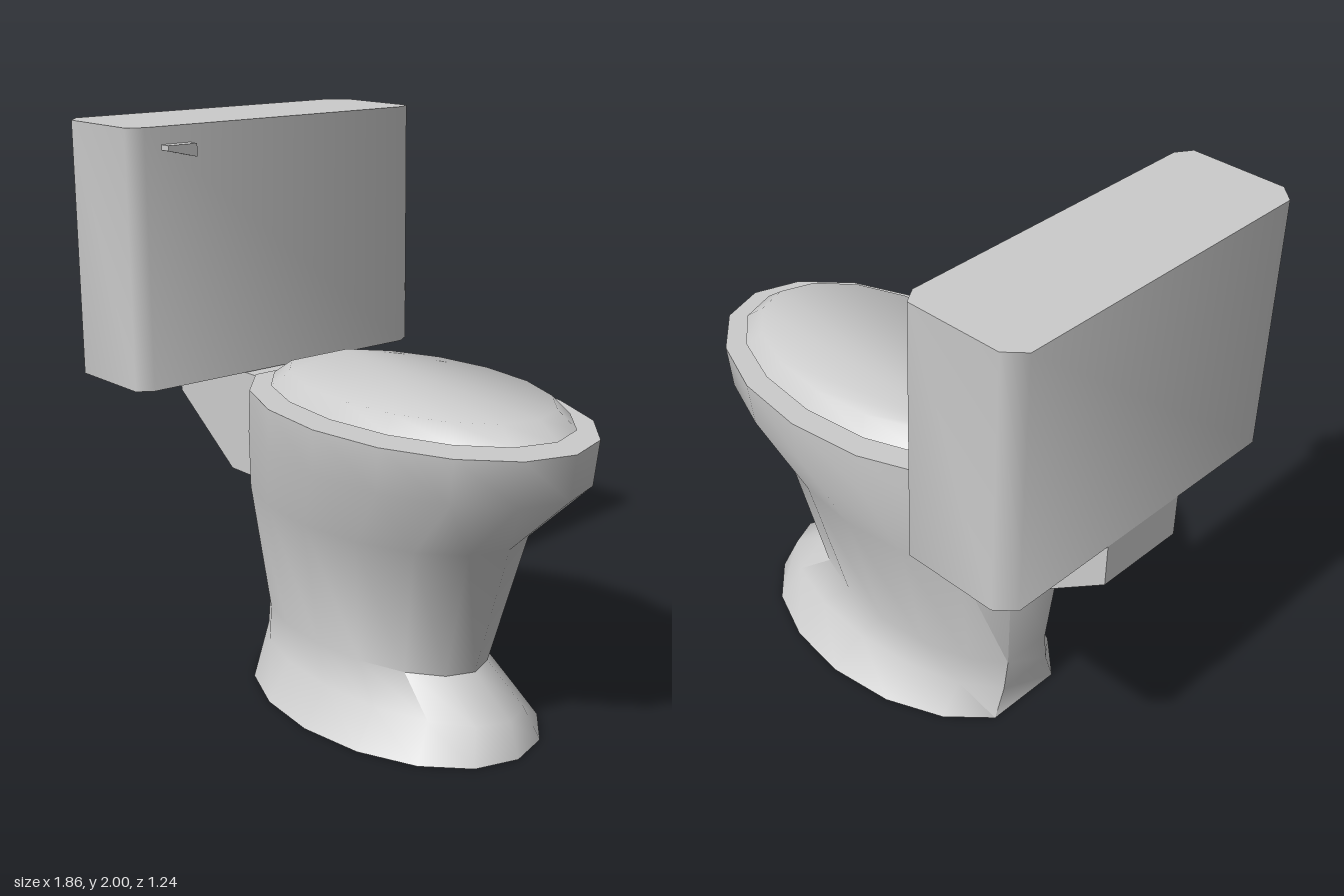
import * as THREE from 'three';
import { toCreasedNormals } from 'three/addons/utils/BufferGeometryUtils.js';

const material = new THREE.MeshStandardMaterial({ color: 0xcccccc, side: THREE.DoubleSide });

function addPart(group, name, geometry, crease = 0.9) {
  const mesh = new THREE.Mesh(toCreasedNormals(geometry, crease), material);
  mesh.name = name;
  group.add(mesh);
}

// Sixteen-sided oval with its rear corner cut off flat.
const SIDES = 15;
function ovalRing([y, back, front, halfWidth]) {
  const cut = Math.cos(Math.PI / 8);
  const radius = (front - back) / (1 + cut);
  return Array.from({ length: SIDES }, (_, i) => {
    const a = (i - 7) * Math.PI / 8;
    return [front - radius + radius * Math.cos(a), y, halfWidth * Math.sin(a)];
  });
}

// Skin stacked ovals, listed from bottom to top as [y, back, front, halfWidth].
function loft(sections, capBottom) {
  const positions = sections.flatMap(ovalRing).flat();
  const index = [];
  const last = (sections.length - 1) * SIDES;
  for (let r = 0; r < last; r += SIDES) {
    for (let j = 0; j < SIDES; j++) {
      const k = (j + 1) % SIDES;
      const a = r + j, b = r + k, c = b + SIDES, d = a + SIDES;
      index.push(a, d, c, a, c, b);
    }
  }
  for (let j = 1; j < SIDES - 1; j++) {
    index.push(last, last + j + 1, last + j);
    if (capBottom) index.push(0, j, j + 1);
  }
  const geometry = new THREE.BufferGeometry();
  geometry.setAttribute('position', new THREE.Float32BufferAttribute(positions, 3));
  geometry.setIndex(index);
  geometry.computeVertexNormals();
  return geometry;
}

function extrude(points, depth) {
  const shape = new THREE.Shape(points.map(([x, y]) => new THREE.Vector2(x, y)));
  return new THREE.ExtrudeGeometry(shape, { depth, bevelEnabled: false });
}

export function createModel() {
  const group = new THREE.Group();
  group.name = 'toilet';

  // Pedestal and bowl, hollow underneath
  addPart(group, 'bowl', loft([
    [0, -0.485, 0.725, 0.40],
    [0.12, -0.485, 0.685, 0.29],
    [0.24, -0.487, 0.515, 0.255],
    [0.72, -0.52, 0.66, 0.355],
    [0.95, -0.475, 0.91, 0.43],
    [1.105, -0.455, 0.93, 0.44],
  ], false));

  // Closed seat lid with sloping edge, just above the rim
  addPart(group, 'lid', loft([
    [1.125, -0.38, 0.85, 0.37],
    [1.18, -0.30, 0.775, 0.325],
  ], true));

  // Shelf behind the bowl that carries the tank
  const shelf = extrude([
    [-0.93, 0.95], [-0.61, 0.715], [-0.45, 0.715], [-0.44, 1.1], [-0.93, 1.105],
  ], 0.34);
  shelf.translate(0, 0, -0.17);
  addPart(group, 'tankShelf', shelf, 0.5);

  // Tank with chamfered upright corners
  const tank = extrude([
    [-0.93, -0.565], [-0.87, -0.62], [-0.535, -0.62], [-0.5, -0.565],
    [-0.5, 0.565], [-0.535, 0.62], [-0.87, 0.62], [-0.93, 0.565],
  ], 0.895);
  tank.rotateX(-Math.PI / 2).translate(0, 1.105, 0);
  addPart(group, 'tank', tank, 1.1);

  // Tapered flush lever
  const lever = extrude([[0.385, 1.895], [0.5, 1.922], [0.5, 1.94], [0.385, 1.94]], 0.06);
  lever.rotateY(-Math.PI / 2).translate(-0.46, 0, 0);
  addPart(group, 'flushLever', lever, 0.5);

  return group;
}
